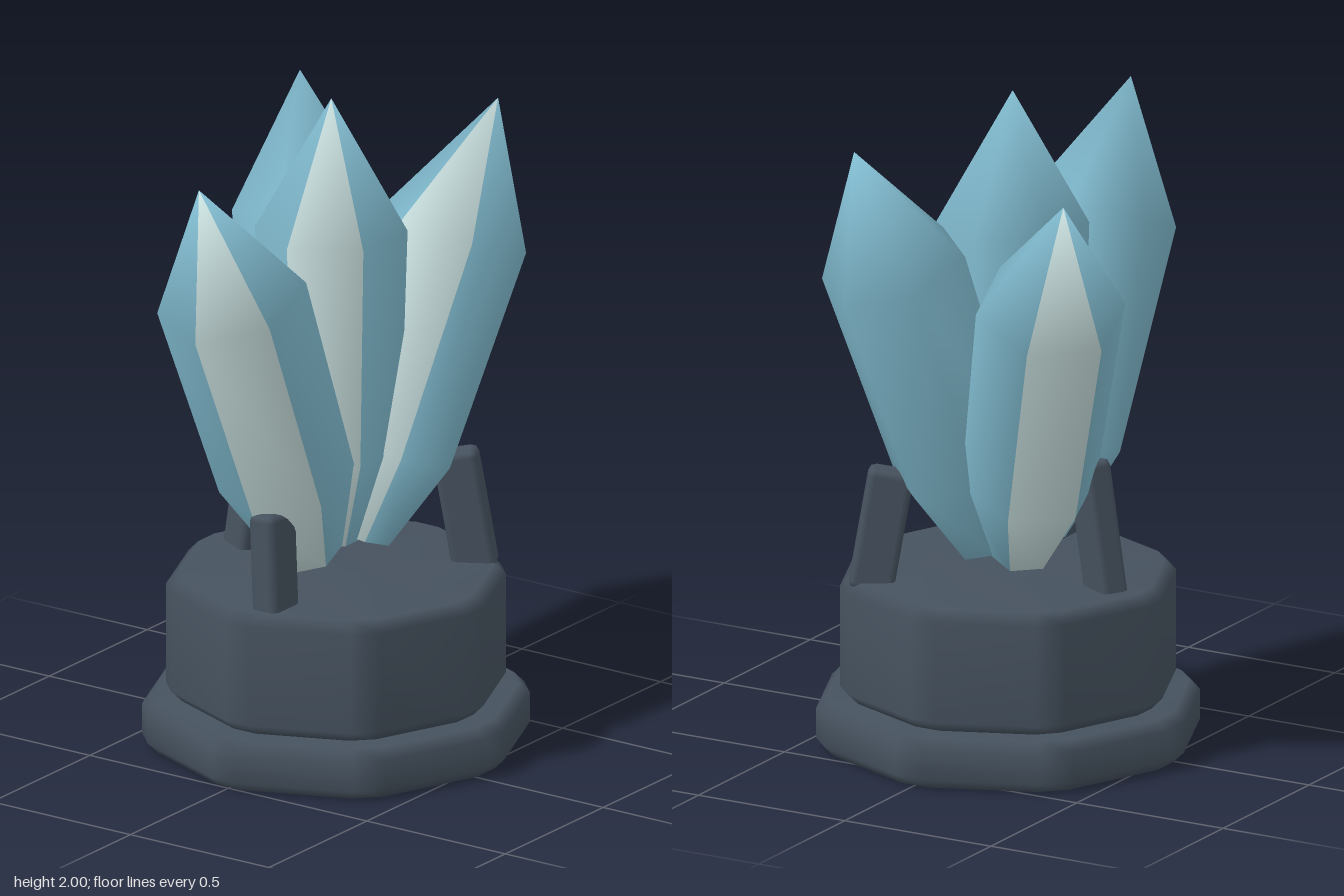
import * as THREE from 'three';
import { RoundedBoxGeometry } from 'three/addons/geometries/RoundedBoxGeometry.js';

const RAD = Math.PI / 180;

// Closed smooth-shaded solid from [radius, y] rings, with a pole at each end.
// Each facet around it is its own group; paint(i) picks the material slot.
function loft(angles, rings, bottomY, topY, paint = () => 0) {
  const n = angles.length;
  const pos = [];
  for (const [r, y] of rings) {
    for (const a of angles) pos.push(r * Math.cos(a), y, r * Math.sin(a));
  }
  const bottom = n * rings.length;
  const top = bottom + 1;
  pos.push(0, bottomY, 0, 0, topY, 0);

  const geo = new THREE.BufferGeometry();
  const index = [];
  for (let i = 0; i < n; i++) {
    const j = (i + 1) % n;
    const start = index.length;
    index.push(i, j, bottom);
    for (let k = 0; k < rings.length - 1; k++) {
      const a = k * n + i, b = k * n + j;
      index.push(a, a + n, b + n, a, b + n, b);
    }
    const last = (rings.length - 1) * n;
    index.push(last + i, top, last + j);
    geo.addGroup(start, index.length - start, paint(i));
  }
  geo.setAttribute('position', new THREE.Float32BufferAttribute(pos, 3));
  geo.setIndex(index);
  geo.computeVertexNormals();
  return geo;
}

export function createModel() {
  const model = new THREE.Group();
  model.name = 'crystalCluster';

  const stone = new THREE.MeshStandardMaterial({ color: 0x46525f });
  stone.name = 'dark stone';
  const blue = new THREE.MeshStandardMaterial({ color: 0x80bace });
  blue.name = 'crystal blue';
  const pale = new THREE.MeshStandardMaterial({ color: 0xc8dfde });
  pale.name = 'pale facet';

  const up = new THREE.Vector3(0, 1, 0);

  // Octagonal base slabs with bevelled corners and rims
  const corners = [];
  for (let i = 0; i < 8; i++) corners.push((45 * i - 5) * RAD, (45 * i + 5) * RAD);
  const slab = (name, r, y0, y1, bevel) => {
    const geo = loft(corners, [
      [r - bevel, y0], [r, y0 + bevel], [r, y1 - bevel], [r - bevel, y1],
    ], y0, y1);
    const mesh = new THREE.Mesh(geo, [stone]);
    mesh.name = name;
    mesh.position.z = -0.05;
    model.add(mesh);
  };
  slab('basePlinth', 0.574, 0, 0.155, 0.032);
  slab('baseDrum', 0.503, 0.155, 0.53, 0.034);

  // Hexagonal crystals: narrow foot, long body, pointed tip, one pale facet
  const hex = [];
  for (let i = 0; i < 6; i++) hex.push((30 + 60 * i) * RAD);
  const crystalGeo = loft(hex, [[0.1, 0], [0.205, 0.28], [0.226, 0.963]], 0, 1.37,
    (i) => (i === 0 ? 1 : 0));
  const crystals = [
    ['centreCrystal', [-0.01, 0.63, -0.04], [-0.01, 2.0, -0.04], 0],
    ['frontCrystal', [-0.01, 0.612, 0.073], [-0.05, 1.885, 0.58], -4],
    ['backLeftCrystal', [0.03, 0.62, -0.12], [0.235, 1.905, -0.545], 14],
    ['backRightCrystal', [-0.08, 0.61, -0.113], [-0.48, 1.845, -0.545], 166.5],
  ];
  for (const [name, foot, tip, twist] of crystals) {
    const base = new THREE.Vector3(...foot);
    const dir = new THREE.Vector3(...tip).sub(base).normalize();
    const mesh = new THREE.Mesh(crystalGeo, [blue, pale]);
    mesh.name = name;
    mesh.position.copy(base);
    mesh.quaternion.setFromUnitVectors(up, dir)
      .multiply(new THREE.Quaternion().setFromAxisAngle(up, -twist * RAD));
    model.add(mesh);
  }

  // Leaning prongs that hold the crystals
  const prongs = [
    ['frontProng', [0.048, 0.5, 0.325], [0.028, 0.82, 0.315], 90],
    ['rightProng', [-0.355, 0.5, -0.08], [-0.285, 0.915, -0.07], 210],
    ['leftProng', [0.288, 0.5, -0.36], [0.235, 0.87, -0.325], 330],
  ];
  for (const [name, foot, tip, heading] of prongs) {
    const a = new THREE.Vector3(...foot);
    const b = new THREE.Vector3(...tip);
    const dir = b.clone().sub(a);
    const mesh = new THREE.Mesh(
      new RoundedBoxGeometry(0.135, dir.length(), 0.09, 1, 0.022), stone);
    mesh.name = name;
    mesh.position.copy(a).add(b).multiplyScalar(0.5);
    mesh.quaternion.setFromUnitVectors(up, dir.normalize())
      .multiply(new THREE.Quaternion().setFromAxisAngle(up, -heading * RAD));
    model.add(mesh);
  }

  return model;
}
